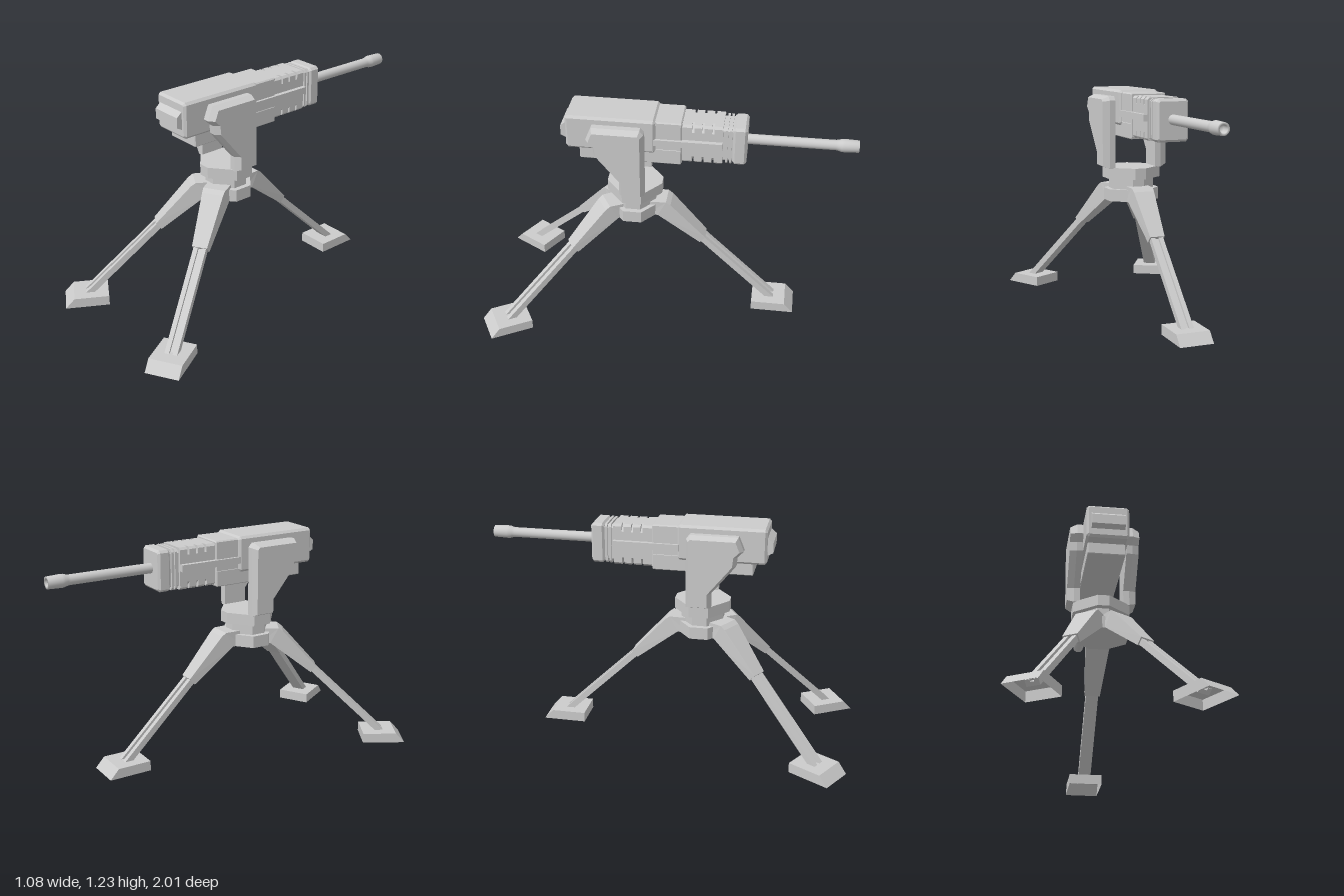
import * as THREE from 'three';

const flat = new THREE.MeshStandardMaterial({ color: 0xcccccc, flatShading: true, side: THREE.DoubleSide });
const smooth = new THREE.MeshStandardMaterial({ color: 0xcccccc, side: THREE.DoubleSide });

const PIVOT_Z = 0.175;
const AXIS_Y = 1.1;

function part(name, geometry, parent, material = flat) {
  const mesh = new THREE.Mesh(geometry, material);
  mesh.name = name;
  parent.add(mesh);
  return mesh;
}

const shapeOf = (points) => new THREE.Shape(points.map(([x, y]) => new THREE.Vector2(x, y)));
const extrude = (points, depth) => new THREE.ExtrudeGeometry(shapeOf(points), { depth, bevelEnabled: false });

// Rectangle with cut corners, from half width and a y range
function cutRect(hx, y0, y1, c) {
  return [[-hx + c, y0], [hx - c, y0], [hx, y0 + c], [hx, y1 - c],
    [hx - c, y1], [-hx + c, y1], [-hx, y1 - c], [-hx, y0 + c]];
}

// Box along z with every edge chamfered by c
function chamferBox(hx, y0, y1, z0, z1, c) {
  const g = new THREE.ExtrudeGeometry(shapeOf(cutRect(hx - c, y0 + c, y1 - c, c * 0.5)),
    { depth: z1 - z0 - 2 * c, bevelEnabled: true, bevelSize: c, bevelThickness: c, bevelSegments: 1 });
  return g.translate(0, 0, z0 + c);
}

// Eight-sided slab around the turning axis
function octagonSlab(s, y0, y1) {
  const a = 0.155 * s, b = 0.15 * s, fx = 0.032, fz = 0.052 * s;
  const g = extrude([[fx, -b], [a, -fz], [a, fz], [fx, b], [-fx, b], [-a, fz], [-a, -fz], [-fx, -b]], y1 - y0);
  return g.rotateX(-Math.PI / 2).translate(0, y0, PIVOT_Z);
}

function buildLeg(parent, angle) {
  const leg = new THREE.Group();
  leg.name = 'tripodLeg';
  leg.position.z = PIVOT_Z;
  leg.rotation.y = angle;
  parent.add(leg);

  // Tapering upper sleeve
  const sleeve = extrude([[0.07, 0.605], [0.13, 0.605], [0.365, 0.42], [0.395, 0.455],
    [0.2, 0.672], [0.175, 0.69], [0.07, 0.69]], 1).translate(0, 0, -0.5);
  const p = sleeve.attributes.position;
  for (let i = 0; i < p.count; i++) {
    const t = THREE.MathUtils.clamp((p.getX(i) - 0.13) / 0.25, 0, 1);
    p.setZ(i, p.getZ(i) * 2 * THREE.MathUtils.lerp(0.066, 0.042, t));
  }
  part('legSleeve', sleeve, leg);

  // Grooved lower strut
  const start = new THREE.Vector3(0.36, 0.455, 0), end = new THREE.Vector3(0.79, 0.04, 0);
  const dir = end.clone().sub(start).normalize();
  const up = new THREE.Vector3(-dir.y, dir.x, 0);
  const strut = extrude([[-0.035, -0.017], [0.035, -0.017], [0.035, 0.017], [0.01, 0.017],
    [0.01, 0.004], [-0.01, 0.004], [-0.01, 0.017], [-0.035, 0.017]], start.distanceTo(end));
  strut.applyMatrix4(new THREE.Matrix4().makeBasis(new THREE.Vector3(0, 0, -1), up, dir).setPosition(start));
  part('legStrut', strut, leg);

  // Hollow foot: sloped toe, open underneath
  const foot = new THREE.BoxGeometry(0.24, 0.055, 0.185).translate(0.795, 0.0275, 0);
  const f = foot.attributes.position;
  for (let i = 0; i < f.count; i++) {
    if (f.getX(i) > 0.8 && f.getY(i) > 0.03) f.setX(i, 0.865);
  }
  foot.setIndex(Array.from(foot.index.array).filter((_, i) => i < 18 || i >= 24));
  foot.clearGroups();
  part('foot', foot, leg);
}

function buildArm(parent, side) {
  // Side bracket, chamfered on its outer face only
  const c = 0.016;
  const g = new THREE.ExtrudeGeometry(shapeOf([[0.105, 0.79], [0.24, 0.79], [0.24, 0.875], [0.37, 1.035],
    [0.375, 1.085], [0.41, 1.12], [0.38, 1.193], [0.125, 1.193], [0.105, 1.17]]),
  { depth: 0.033, bevelEnabled: true, bevelSize: c, bevelOffset: -c, bevelThickness: 0.037, bevelSegments: 1 });
  const p = g.attributes.position;
  for (let i = 0; i < p.count; i++) p.setZ(i, Math.max(0, p.getZ(i)));
  g.rotateY(-Math.PI / 2).translate(-0.119, 0, 0);
  part(side > 0 ? 'leftBracket' : 'rightBracket', g, parent).scale.x = -side;
}

function buildGun(parent) {
  const gun = new THREE.Group();
  gun.name = 'gun';
  parent.add(gun);

  part('receiver', chamferBox(0.115, 1.037, 1.23, 0.05, 0.525, 0.012), gun);
  part('lowerReceiver', chamferBox(0.102, 0.972, 1.06, -0.085, 0.455, 0.004), gun);
  part('frontReceiver', chamferBox(0.1, 0.975, 1.22, -0.088, 0.08, 0.006), gun);

  // Raised rear panel
  const panel = extrude([[0.5, 1.085], [0.525, 1.085], [0.555, 1.1], [0.555, 1.155], [0.525, 1.18], [0.5, 1.18]], 0.18);
  part('rearPanel', panel.rotateY(-Math.PI / 2).translate(0.09, 0, 0), gun);

  // Handguard made of slices, with slots cut across its corners
  const hx = 0.09, y0 = 0.983, y1 = 1.208;
  let z = -0.08;
  for (const slot of [-0.145, -0.197, -0.249]) {
    part('handguardSlice', extrude(cutRect(hx, y0, y1, 0.012), z - slot - 0.006).translate(0, 0, slot + 0.006), gun);
    part('handguardSlot', extrude(cutRect(hx, y0, y1, 0.04), 0.012).translate(0, 0, slot - 0.006), gun);
    z = slot - 0.006;
  }
  part('handguardSlice', extrude(cutRect(hx, y0, y1, 0.012), z + 0.3).translate(0, 0, -0.3), gun);

  // Side rails
  for (const s of [-1, 1]) {
    part('sideRail', new THREE.BoxGeometry(0.035, 0.036, 0.36).translate(s * 0.0965, 1.103, -0.12), gun);
  }

  // Ribbed collar and front block
  part('collarCore', extrude(cutRect(0.076, 0.995, 1.195, 0.015), 0.06).translate(0, 0, -0.355), gun);
  for (const rib of [-0.32, -0.341]) {
    part('collarRib', extrude(cutRect(0.086, 0.985, 1.205, 0.015), 0.012).translate(0, 0, rib - 0.006), gun);
  }
  part('frontBlock', chamferBox(0.088, 0.985, 1.205, -0.425, -0.352, 0.012), gun);

  // Barrel with flared, bored muzzle
  const profile = [[0.027, 0.4], [0.027, 0.88], [0.029, 0.895], [0.034, 0.91], [0.035, 0.925],
    [0.032, 1], [0.02, 1], [0.02, 0.96], [0, 0.96]].map(([r, d]) => new THREE.Vector2(r, d));
  const barrel = new THREE.LatheGeometry(profile, 24).rotateX(-Math.PI / 2).translate(0, AXIS_Y, 0);
  part('barrel', barrel, gun, smooth);
}

export function createModel() {
  const model = new THREE.Group();
  model.name = 'tripodGun';

  // Stacked hub: base, neck and turntable
  part('hubBase', octagonSlab(0.95, 0.605, 0.672), model);
  part('hubNeck', octagonSlab(0.77, 0.66, 0.74), model);
  part('turntable', octagonSlab(1, 0.733, 0.795), model);

  for (const angle of [90, -60, -120]) buildLeg(model, THREE.MathUtils.degToRad(angle));
  for (const side of [-1, 1]) buildArm(model, side);
  buildGun(model);
  return model;
}
